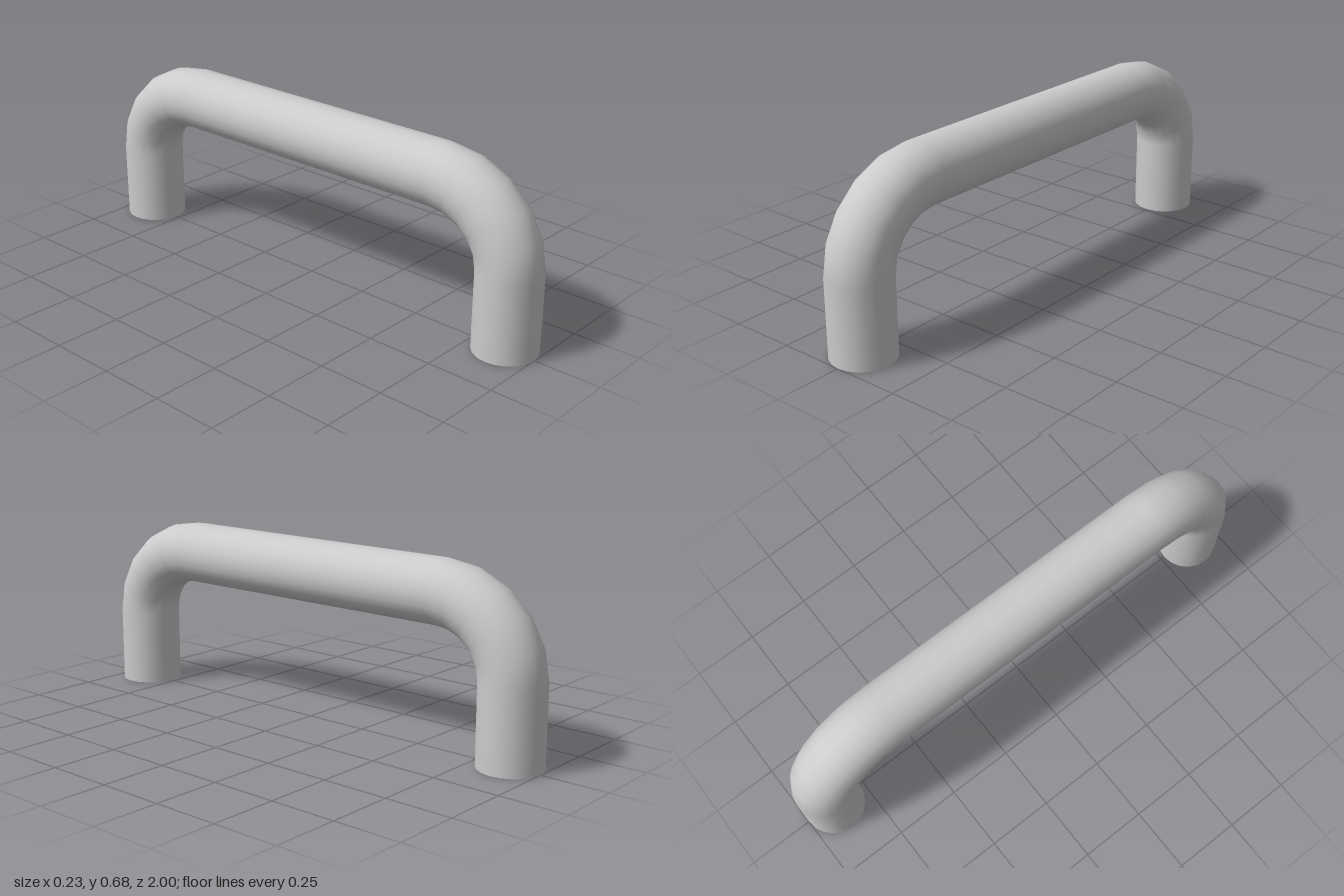
import * as THREE from 'three';
import { ParametricGeometry } from 'three/addons/geometries/ParametricGeometry.js';

const R = 0.117;      // rod radius
const SIDES = 20;
const LEG_Z = 0.883;  // leg axis
const BAR_Y = 0.558;  // bar axis
const LEG_H = 0.292;  // height where the bend starts
const BAR_Z = 0.59;   // half length of the straight bar

export function createModel() {
  const group = new THREE.Group();
  const material = new THREE.MeshStandardMaterial({ color: 0xcccccc });

  const add = (geometry, name, parent) => {
    const mesh = new THREE.Mesh(geometry, material);
    mesh.name = name;
    parent.add(mesh);
    return mesh;
  };

  // straight grip bar
  const bar = new THREE.CylinderGeometry(R, R, BAR_Z * 2, SIDES, 1, true);
  bar.rotateX(Math.PI / 2);
  add(bar, 'gripBar', group).position.y = BAR_Y;

  // leg with closed foot
  const leg = new THREE.CylinderGeometry(R, R, LEG_H, SIDES);
  leg.translate(0, LEG_H / 2, LEG_Z);

  // quarter bend: rings swept from the leg top to the bar end
  const bend = new ParametricGeometry((u, v, target) => {
    const a = u * Math.PI / 2;
    const t = v * Math.PI * 2;
    const out = R * Math.cos(t);
    target.set(
      -R * Math.sin(t),
      LEG_H + (BAR_Y - LEG_H + out) * Math.sin(a),
      BAR_Z + (LEG_Z - BAR_Z + out) * Math.cos(a)
    );
  }, 5, SIDES);

  // the two ends are the same part turned half way round
  for (const [end, angle] of [['front', 0], ['back', Math.PI]]) {
    const side = new THREE.Group();
    side.name = end + 'End';
    side.rotation.y = angle;
    add(leg, end + 'Leg', side);
    add(bend, end + 'Bend', side);
    group.add(side);
  }
  return group;
}
